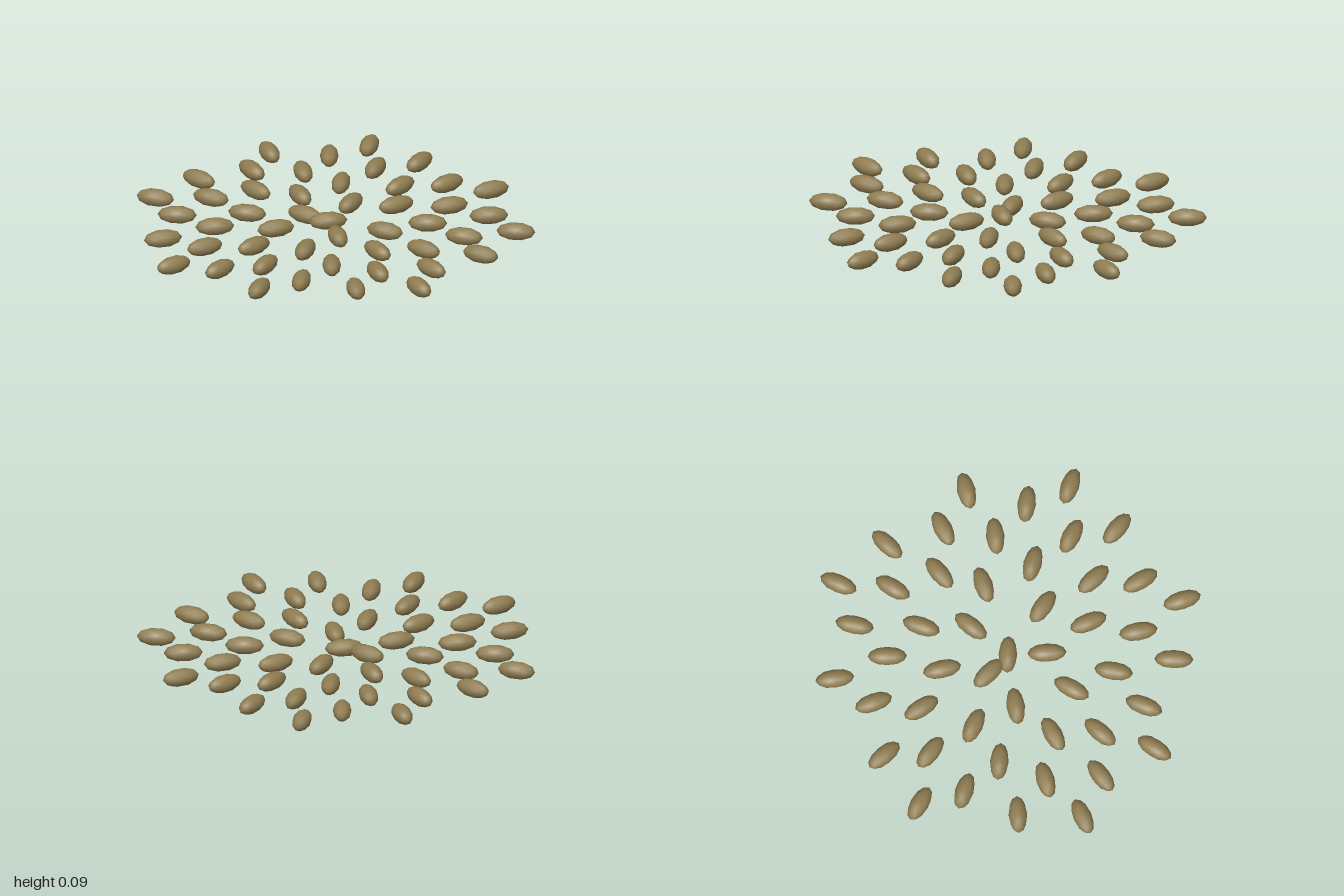
import * as THREE from 'three';

const COUNT = 48;
const SPACING = 0.1425;
const GOLDEN_ANGLE = Math.PI * (3 - Math.sqrt(5));
const HALF = { length: 0.101, height: 0.047, width: 0.048 };

export function createModel() {
  const group = new THREE.Group();
  group.name = 'seedSpiral';

  const seedBrown = new THREE.MeshStandardMaterial({ color: 0x8f7d52 });
  seedBrown.name = 'seedBrown';

  // One plump, low-poly seed, long along x, with smooth normals
  const seedGeometry = new THREE.IcosahedronGeometry(1, 1);
  seedGeometry.scale(HALF.length, HALF.height, HALF.width);

  // Seeds in a sunflower spiral, each pointing outwards
  for (let i = 0; i < COUNT; i++) {
    const angle = i * GOLDEN_ANGLE;
    const radius = SPACING * Math.sqrt(i);
    const seed = new THREE.Mesh(seedGeometry, seedBrown);
    seed.name = `seed${i + 1}`;
    seed.position.set(radius * Math.cos(angle) - 0.025, HALF.height, -radius * Math.sin(angle));
    seed.rotation.y = angle;
    group.add(seed);
  }
  return group;
}
